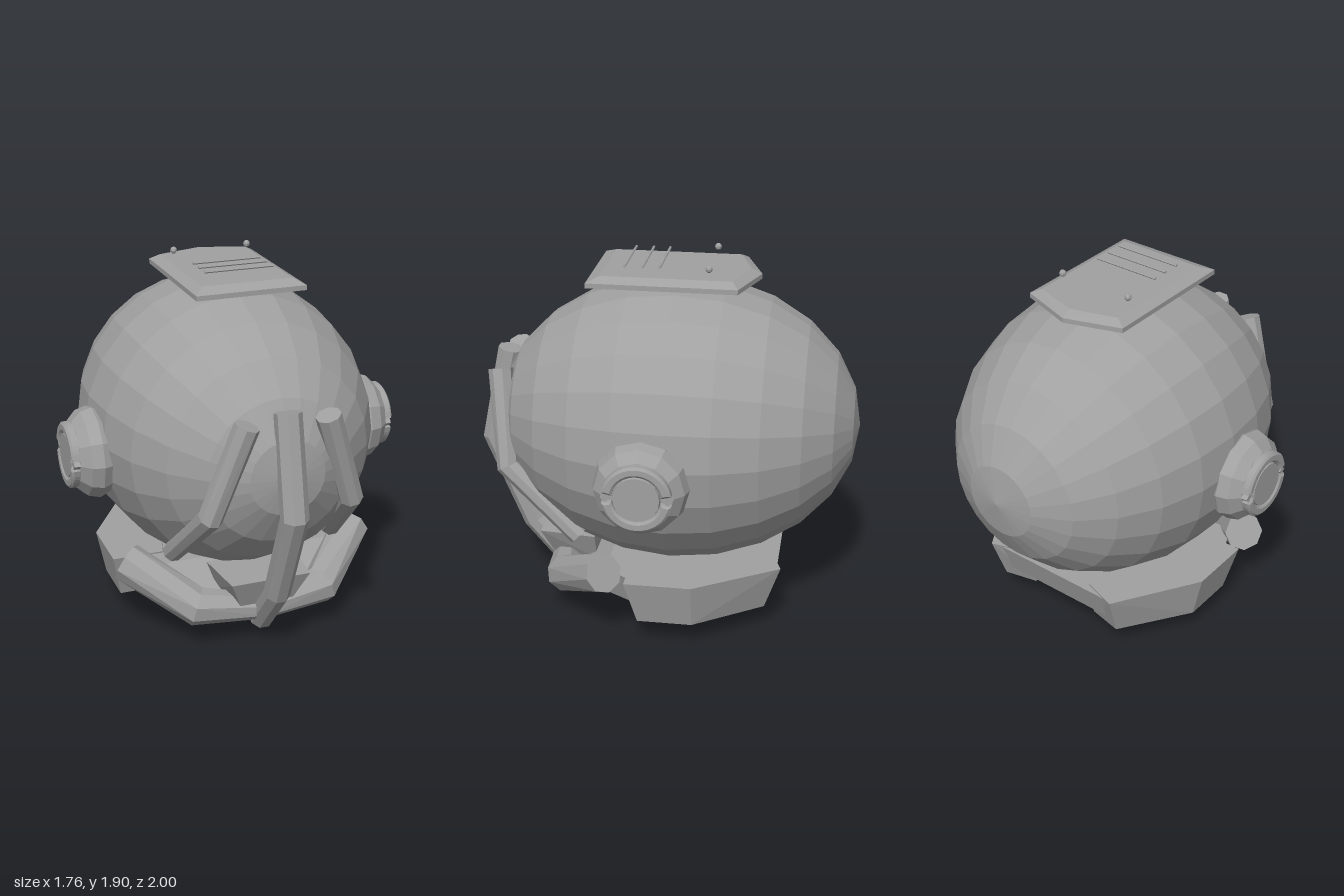
import * as THREE from 'three';
import { ConvexGeometry } from 'three/addons/geometries/ConvexGeometry.js';

const V = (x, y, z) => new THREE.Vector3(x, y, z);

export function createModel() {
  const model = new THREE.Group();
  const grey = new THREE.MeshStandardMaterial({ color: 0xa0a0a0, flatShading: true });
  grey.name = 'plainGrey';

  const add = (geometry, name, parent = model) => {
    const mesh = new THREE.Mesh(geometry, grey);
    mesh.name = name;
    parent.add(mesh);
    return mesh;
  };

  // Convex solid stacked from plan outlines: [y, [[x, z], ...]], mirrored by s
  const stack = (layers, name, s = 1) => add(new ConvexGeometry(
    layers.flatMap(([y, plan]) => plan.map(([x, z]) => V(x * s, y, z)))), name);

  // Eight-sided bent pipe with closed ends; each point is [x, y, z, radius]
  const pipe = (path, name, s = 1) => {
    const group = new THREE.Group();
    group.name = name;
    model.add(group);
    const pts = path.map(([x, y, z]) => V(x, y, z));
    const rings = pts.map((p, i) => {
      const t = V(0, 0, 0);
      if (i > 0) t.add(p.clone().sub(pts[i - 1]).normalize());
      if (i < pts.length - 1) t.add(pts[i + 1].clone().sub(p).normalize());
      t.normalize();
      const side = Math.abs(t.x) > 0.7 ? V(0, 1, 0) : V(1, 0, 0);
      const u = side.addScaledVector(t, -side.dot(t)).normalize();
      const w = t.clone().cross(u);
      return Array.from({ length: 8 }, (_, k) => {
        const a = (k + 0.5) * Math.PI / 4, r = path[i][3];
        const q = p.clone().addScaledVector(u, r * Math.cos(a)).addScaledVector(w, r * Math.sin(a));
        q.x *= s;
        return q;
      });
    });
    for (let i = 0; i < rings.length - 1; i++)
      add(new ConvexGeometry([...rings[i], ...rings[i + 1]]), name + 'Segment', group);
  };

  // Egg-shaped shell with its poles at front and back
  const shell = new THREE.SphereGeometry(1, 24, 12);
  shell.rotateX(Math.PI / 2).scale(0.745, 0.74, 0.94).translate(0, 1.025, -0.06);
  add(shell, 'shell');

  // Bevelled top plate with a pointed rear
  const plateOutline = [[-0.285, 0.37], [0.285, 0.37], [0.285, -0.38], [0, -0.475], [-0.285, -0.38]];
  const plateTop = [[-0.235, 0.305], [0.235, 0.305], [0.235, -0.35], [0, -0.42], [-0.235, -0.35]];
  stack([[1.785, plateOutline], [1.81, plateOutline], [1.836, plateTop]], 'topPlate');
  for (const z of [0.015, 0.1, 0.19]) {
    const bar = add(new THREE.CylinderGeometry(0.007, 0.007, 0.36, 6), 'ventBar');
    bar.rotation.z = Math.PI / 2;
    bar.position.set(0, 1.873, z);
  }

  // Central face pipe
  pipe([[0, 1.35, 0.83, 0.068], [0, 0.85, 0.935, 0.07], [0, 0.36, 0.735, 0.068], [0, 0.11, 0.525, 0.066]], 'centrePipe');

  // Chin block and collar plate
  stack([
    [0.39, [[-0.21, 0.66], [0.21, 0.66], [0.24, 0.36], [-0.24, 0.36]]],
    [0.23, [[-0.14, 0.6], [0.14, 0.6], [0.18, 0.36], [-0.18, 0.36]]],
  ], 'chinBlock');
  const collar = [[0.52, 0.25], [0.62, 0.08], [0.62, -0.2], [0.36, -0.62]];
  const bothSides = (half, k) => [1, -1].flatMap(s => half.map(([x, z]) => [s * x * k, z * k]));
  stack([[0.36, bothSides(collar, 1)], [0.2, bothSides([...collar, [0.25, 0.52]], 0.92)]], 'collar');

  for (const s of [1, -1]) {
    // Rivet on the top plate
    add(new THREE.SphereGeometry(0.018, 8, 6), 'rivet').position.set(s * 0.2, 1.883, -0.23);

    // Side face pipes and lower hoses
    pipe([[0.205, 1.31, 0.835, 0.064], [0.365, 0.84, 0.775, 0.062], [0.435, 0.5, 0.4, 0.052]], 'sidePipe', s);
    pipe([[0.63, 0.4, 0.235, 0.102], [0.34, 0.22, 0.5, 0.1], [0, 0.19, 0.56, 0.066]], 'lowerHose', s);

    // Hanging pod wrapped around the rear corner
    stack([
      [0.368, [[0.67, 0.13], [0.67, -0.21], [0.4, -0.64], [0.22, -0.58], [0.4, 0.13]]],
      [0.13, [[0.62, 0.07], [0.62, -0.21], [0.38, -0.56], [0.2, -0.52], [0.3, 0.07]]],
      [0.09, [[0.54, -0.02], [0.54, -0.22], [0.36, -0.46], [0.26, -0.42], [0.34, -0.02]]],
    ], 'sidePod', s);

    // Small pegs under the collar
    for (const [x, y, z] of [[0.175, 0.04, -0.145], [0.175, 0.04, -0.25], [0.175, 0.04, -0.35], [0.24, 0.118, 0.185]])
      pipe([[x - 0.06, y - 0.016, z - 0.025, 0.026], [x + 0.06, y + 0.016, z + 0.025, 0.026]], 'peg', s);

    // Ear cup, split ring, centre dial and notch blocks
    const ear = new THREE.Group();
    ear.name = 'ear';
    ear.position.set(s * 0.7, 0.945, 0.025);
    ear.rotation.y = s * Math.PI / 2;
    model.add(ear);
    const profile = [[0.2, -0.06], [0.238, 0.03], [0.222, 0.09], [0.175, 0.138], [0.13, 0.15], [0, 0.15]];
    const cup = new THREE.LatheGeometry(profile.map(([r, h]) => new THREE.Vector2(r, h)), 12);
    add(cup.rotateX(Math.PI / 2), 'earCup', ear);
    const dial = new THREE.CylinderGeometry(0.112, 0.118, 0.04, 20);
    add(dial.rotateX(Math.PI / 2).translate(0, 0, 0.155), 'earDial', ear);
    for (const turn of [0, Math.PI]) {
      const arc = new THREE.Shape();
      arc.absarc(0, 0, 0.158, 0.22, Math.PI - 0.22, false);
      arc.absarc(0, 0, 0.13, Math.PI - 0.22, 0.22, true);
      const ring = new THREE.ExtrudeGeometry(arc, {
        depth: 0.05, curveSegments: 10, bevelThickness: 0.01, bevelSize: 0.012, bevelSegments: 1,
      });
      add(ring.translate(0, 0, 0.12), 'earRing', ear).rotation.z = turn;
      const notch = add(new THREE.CylinderGeometry(0.022, 0.03, 0.06, 4), 'earNotch', ear);
      notch.rotation.x = Math.PI / 2;
      notch.position.set(turn ? -0.15 : 0.15, 0, 0.14);
    }
  }
  return model;
}
